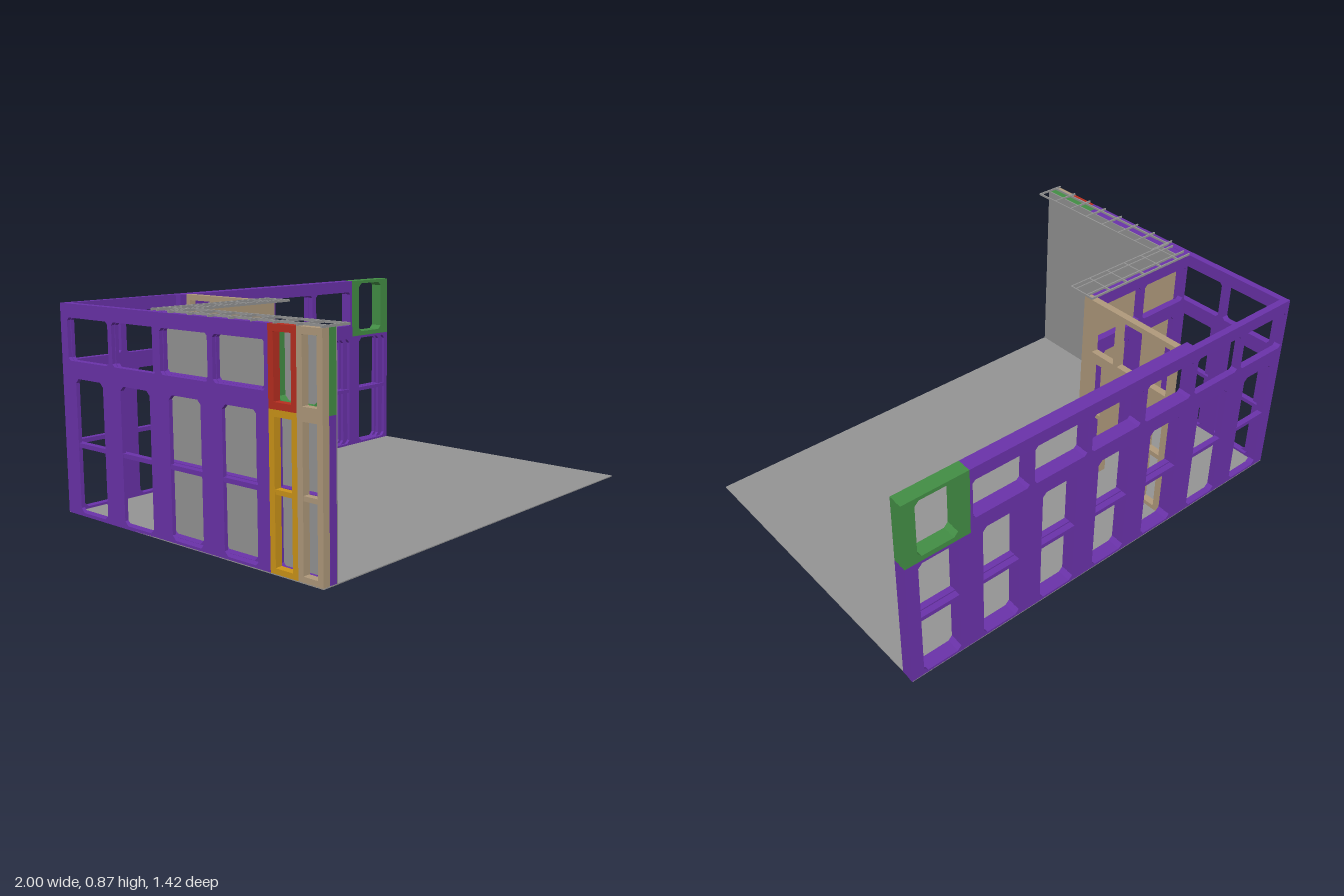
import * as THREE from 'three';

const material = (name, color) => {
  const m = new THREE.MeshStandardMaterial({ color });
  m.name = name;
  return m;
};

export function createModel() {
  const root = new THREE.Group();
  root.name = 'roomFraming';
  const purple = material('purple', 0x6a32aa);
  const green = material('green', 0x438e45);
  const tan = material('tan', 0xb09a7c);
  const gray = material('gray', 0x949494);
  const red = material('red', 0xb82e20);
  const yellow = material('yellow', 0xcc9418);

  const BAY = 0.286, LOW = 0.578, TOP = 0.865, SKIN = 0.031;

  // Box given by its minimum and maximum corners
  function box(parent, name, mat, x0, x1, y0, y1, z0, z1) {
    const mesh = new THREE.Mesh(new THREE.BoxGeometry(x1 - x0, y1 - y0, z1 - z0), mat);
    mesh.position.set((x0 + x1) / 2, (y0 + y1) / 2, (z0 + z1) / 2);
    mesh.name = name;
    parent.add(mesh);
    return mesh;
  }

  // Rectangular sheet with one chamfered window, hole = [x0, x1, y0, y1, chamfer]
  function sheet(w, y0, y1, hole, depth, z) {
    const s = new THREE.Shape();
    s.moveTo(0, y0).lineTo(w, y0).lineTo(w, y1).lineTo(0, y1).closePath();
    const [a, b, c, d, k] = hole;
    const p = new THREE.Path();
    p.moveTo(a + k, c).lineTo(a, c + k).lineTo(a, d - k).lineTo(a + k, d);
    p.lineTo(b - k, d).lineTo(b, d - k).lineTo(b, c + k).lineTo(b - k, c).closePath();
    s.holes.push(p);
    const g = new THREE.ExtrudeGeometry(s, { depth, bevelEnabled: false });
    g.translate(0, 0, z);
    return g;
  }

  // Framed panel: outer sheet with a centred window, inner sheet cut wider on one side
  function panel(parent, name, mat, x, w, y0, y1, win, bar, depth) {
    const g = new THREE.Group();
    g.name = name;
    g.position.x = x;
    const { side, wide, bottom, top, cut } = win;
    const outer = [side, w - side, y0 + bottom, y1 - top, cut];
    const inner = [side, w - wide, y0 + bottom, y1 - top, cut];
    [outer, inner].forEach((hole, i) => {
      const m = new THREE.Mesh(sheet(w, y0, y1, hole, depth / 2, i * depth / 2), mat);
      m.name = i ? 'innerFrame' : 'outerFrame';
      g.add(m);
    });
    if (bar) box(g, 'crossbar', mat, side, w - wide, 0.285, 0.303, 0.002, depth - 0.002);
    parent.add(g);
  }

  const tall = { side: 0.055, wide: 0.023, bottom: 0.014, top: 0.012, cut: 0.018 };
  const wideWin = { side: 0.012, wide: 0.016, bottom: 0.058, top: 0.056, cut: 0.012 };
  const squareWin = { side: 0.055, wide: 0.055, bottom: 0.022, top: 0.015, cut: 0.018 };
  const narrow = { side: 0.025, wide: 0.025, bottom: 0.025, top: 0.025, cut: 0.001 };

  // One wall layer of equal bays; greenBay marks the bay with a green upper panel
  function layer(name, x, z, turn, start, count, depth, greenBay = -1) {
    const g = new THREE.Group();
    g.name = name;
    g.position.set(x, 0, z);
    g.rotation.y = turn;
    for (let i = 0; i < count; i++) {
      const bx = start + i * BAY;
      const isGreen = i === greenBay;
      panel(g, 'lowerPanel', purple, bx, BAY, 0, LOW, tall, true, depth);
      panel(g, 'upperPanel', isGreen ? green : purple, bx, BAY, LOW, TOP,
        isGreen ? squareWin : wideWin, false, depth);
    }
    root.add(g);
    return g;
  }

  box(root, 'floor', gray, -1, 1, 0, 0.004, -0.714, 0.708);

  // Back wall, two layers
  layer('backWallOuter', 0, -0.714, 0, -1, 7, SKIN, 6);
  layer('backWallInner', 0, -0.683, 0, -0.43, 5, SKIN, 4);

  // Side wall: local x runs towards the back
  const side = layer('sideWallOuter', -1, 0, Math.PI / 2, -0.461, 4, SKIN);
  panel(side, 'redUpperPanel', red, -0.592, 0.131, LOW, TOP, narrow, false, SKIN);
  panel(side, 'yellowLowerPanel', yellow, -0.592, 0.131, 0, LOW, narrow, true, SKIN);
  panel(side, 'endStudFrameLower', tan, -0.707, 0.115, 0, LOW, narrow, true, SKIN);
  panel(side, 'endStudFrameUpper', tan, -0.707, 0.115, LOW, TOP, narrow, false, SKIN);
  layer('sideWallInner', -0.967, 0, Math.PI / 2, -0.707, 3, SKIN + 0.002, 0);
  box(root, 'sideWallBoard', gray, -0.934, -0.929, 0, TOP, -0.14, 0.707);

  // Partition with its facing board and end post
  layer('partitionFrame', 0, -0.179, 0, -0.97, 2, SKIN + 0.002);
  box(root, 'partitionBoard', tan, -0.967, -0.366, 0, TOP, -0.146, -0.139);
  box(root, 'partitionEndPost', tan, -0.398, -0.366, 0, TOP, -0.2, -0.146);

  // Stud wall with a doorway
  const studs = new THREE.Group();
  studs.name = 'studWall';
  root.add(studs);
  const stud = (name, y0, y1, z0, z1) => box(studs, name, tan, -0.398, -0.366, y0, y1, z0, z1);
  stud('topPlate', 0.841, TOP, -0.65, -0.2);
  stud('header', 0.588, 0.614, -0.65, -0.2);
  stud('wallPost', 0, 0.841, -0.65, -0.626);
  for (const z of [-0.35, -0.498]) stud('upperStud', 0.614, 0.841, z, z + 0.024);
  for (const z of [-0.295, -0.555]) stud('doorStud', 0, 0.588, z, z + 0.024);
  for (const [z0, z1] of [[-0.295, -0.2], [-0.65, -0.531]]) {
    for (const [y0, y1] of [[0, 0.024], [0.284, 0.306], [0.565, 0.588]]) stud('blocking', y0, y1, z0, z1);
  }

  // Thin ceiling grids along the tops of the two boarded walls
  const grid = new THREE.Group();
  grid.name = 'ceilingGrid';
  root.add(grid);
  const B = 0.006, Y0 = TOP, Y1 = 0.874;
  const railX = (z, x0, x1) => box(grid, 'gridRail', gray, x0, x1, Y0, Y1, z - B / 2, z + B / 2);
  const railZ = (x, z0, z1) => box(grid, 'gridRail', gray, x - B / 2, x + B / 2, Y0, Y1, z0, z1);
  for (const z of [-0.179, -0.146, -0.08, -0.053]) railX(z, -0.97, -0.366);
  for (let i = 0; i < 6; i++) railZ(-0.894 + i * 0.105, -0.179, -0.053);
  for (const x of [-0.968, -0.868]) railZ(x, -0.053, 0.707);
  for (let i = 0; i < 8; i++) railX(-0.046 + i * 0.107, -1, -0.868);

  return root;
}
